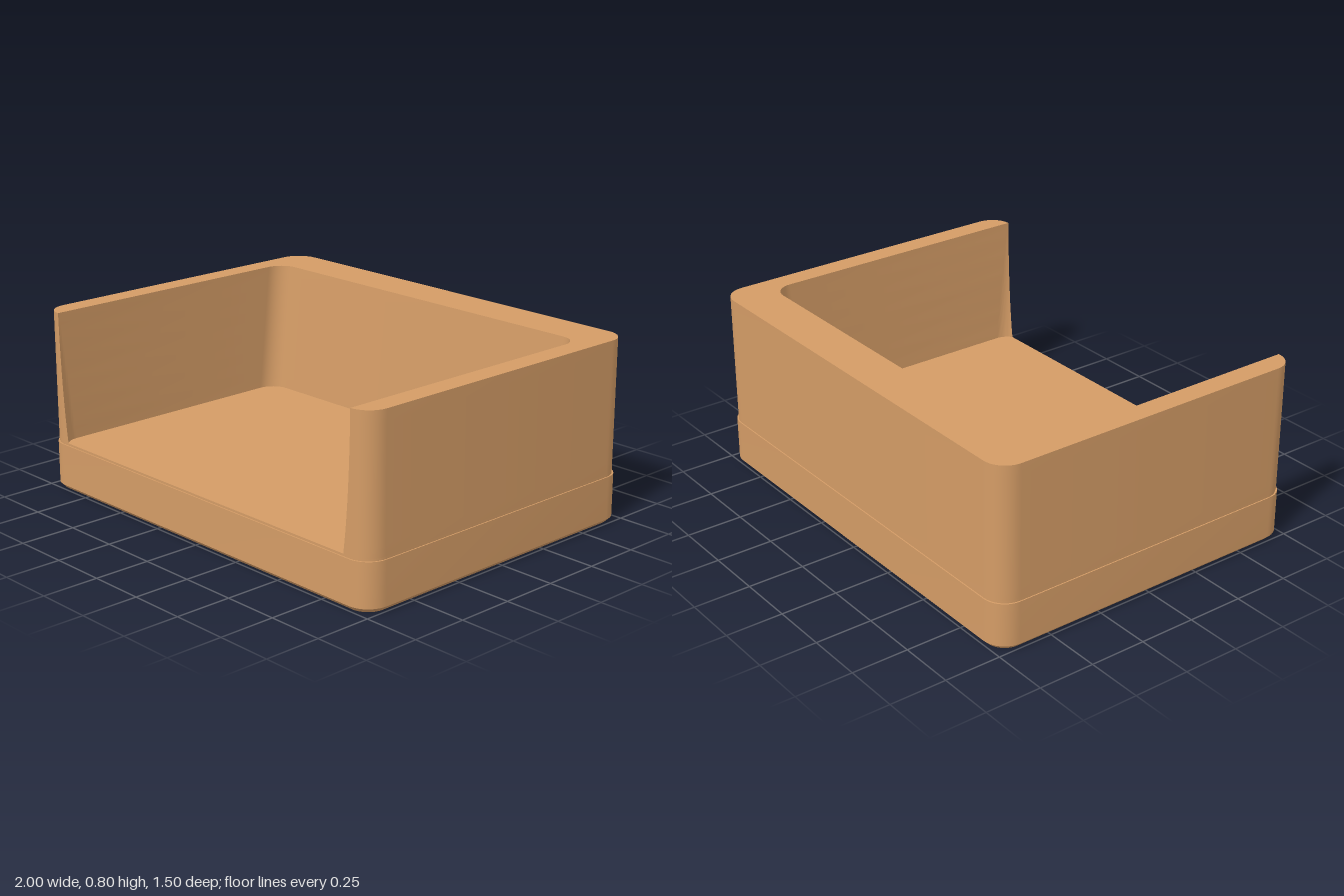
import * as THREE from 'three';
import { toCreasedNormals } from 'three/addons/utils/BufferGeometryUtils.js';

const BASE_TOP = 0.21, FLOOR = 0.22, TOP = 0.8, FRONT = 0.745;

// Points [x, z] of an arc; angle 0 is +x, a quarter turn is -z (the back)
function arc(cx, cz, r, from, to, n = 10) {
  return Array.from({ length: n + 1 }, (_, i) => {
    const a = from + (to - from) * i / n;
    return [cx + r * Math.cos(a), cz - r * Math.sin(a)];
  });
}

// Rounded rectangle, counter-clockwise from above
function roundedRect(hx, hz, r) {
  const q = Math.PI / 2;
  return [[1, -1], [-1, -1], [-1, 1], [1, 1]].flatMap(([sx, sz], i) =>
    arc(sx * (hx - r), sz * (hz - r), r, i * q, (i + 1) * q));
}

// Side surface through closed outlines stacked in y
function loft(rows) {
  const pos = [];
  for (let k = 0; k < rows.length - 1; k++) {
    const lo = rows[k], hi = rows[k + 1], n = lo.pts.length;
    for (let i = 0; i < n; i++) {
      const j = (i + 1) % n;
      const p = (row, m) => [row.pts[m][0], row.y, row.pts[m][1]];
      pos.push(...p(lo, i), ...p(lo, j), ...p(hi, j), ...p(lo, i), ...p(hi, j), ...p(hi, i));
    }
  }
  const g = new THREE.BufferGeometry();
  g.setAttribute('position', new THREE.Float32BufferAttribute(pos, 3));
  return toCreasedNormals(g, 0.5);
}

const outline = pts => new THREE.Shape(pts.map(([x, z]) => new THREE.Vector2(x, -z)));
const cap = (pts, y) => new THREE.ShapeGeometry(outline(pts)).rotateX(-Math.PI / 2).translate(0, y, 0);

// U-shaped wall outline at height y; the cavity slides back as it rises at the rear
// and opens further out at the front
function wallOutline(y) {
  const t = (y - FLOOR) / (TOP - FLOOR), r = 0.085, q = Math.PI / 2;
  const back = -0.485 - 0.06 * t, frontCentre = 0.676 + 0.06 * t;
  const outer = [
    ...arc(0.9, FRONT - 0.095, 0.095, -q, 0),
    ...arc(0.895, -FRONT + 0.1, 0.1, 0, q),
  ];
  const inner = [
    ...arc(0.9 - r, frontCentre, r, -Math.asin((FRONT - frontCentre) / r), 0),
    ...arc(0.9 - r, back + r, r, 0, q),
  ];
  const mirror = pts => pts.map(([x, z]) => [-x, z]);
  return [...outer, ...mirror(outer).reverse(), ...mirror(inner), ...inner.reverse()];
}

export function createModel() {
  const group = new THREE.Group();
  const tan = new THREE.MeshStandardMaterial({ color: 0xd49c66 });
  tan.name = 'warm tan';
  const add = (name, geometry, parent = group) => {
    const mesh = new THREE.Mesh(geometry, tan);
    mesh.name = name;
    parent.add(mesh);
    return mesh;
  };

  // Base with chamfered lower edge
  const full = roundedRect(1, 0.75, 0.1), foot = roundedRect(0.98, 0.73, 0.08);
  add('baseSides', loft([{ y: 0, pts: foot }, { y: 0.02, pts: full }, { y: BASE_TOP, pts: full }]));
  add('baseLedge', cap(full, BASE_TOP));

  // Underside with a grid of round sockets
  const under = outline(foot), holeR = 0.13, depth = 0.12;
  const sockets = new THREE.Group();
  sockets.name = 'sockets';
  group.add(sockets);
  for (const x of [-0.75, -0.25, 0.25, 0.75]) {
    for (const z of [-0.5, 0, 0.5]) {
      under.holes.push(new THREE.Path().absarc(x, z, holeR, 0, Math.PI * 2, true));
      // Reversed outline turns the socket wall inwards
      const ring = arc(x, z, holeR, Math.PI * 2, 0, 32).slice(0, -1);
      add('socketWall', loft([{ y: 0, pts: ring }, { y: depth, pts: ring }]), sockets);
      add('socketCeiling', new THREE.CircleGeometry(holeR, 32).rotateX(Math.PI / 2).translate(x, depth, z), sockets);
    }
  }
  add('underside', new THREE.ShapeGeometry(under, 16).rotateX(Math.PI / 2));

  // Tray floor, set in slightly from the base
  const inset = roundedRect(0.995, FRONT, 0.1);
  add('floorEdge', loft([{ y: BASE_TOP, pts: inset }, { y: FLOOR, pts: inset }]));
  add('floor', cap(inset, FLOOR));

  // Three-sided wall with open front
  const rows = Array.from({ length: 13 }, (_, i) => {
    const y = FLOOR + (TOP - FLOOR) * i / 12;
    return { y, pts: wallOutline(y) };
  });
  add('walls', loft(rows));
  add('wallRim', cap(wallOutline(TOP), TOP));

  return group;
}
